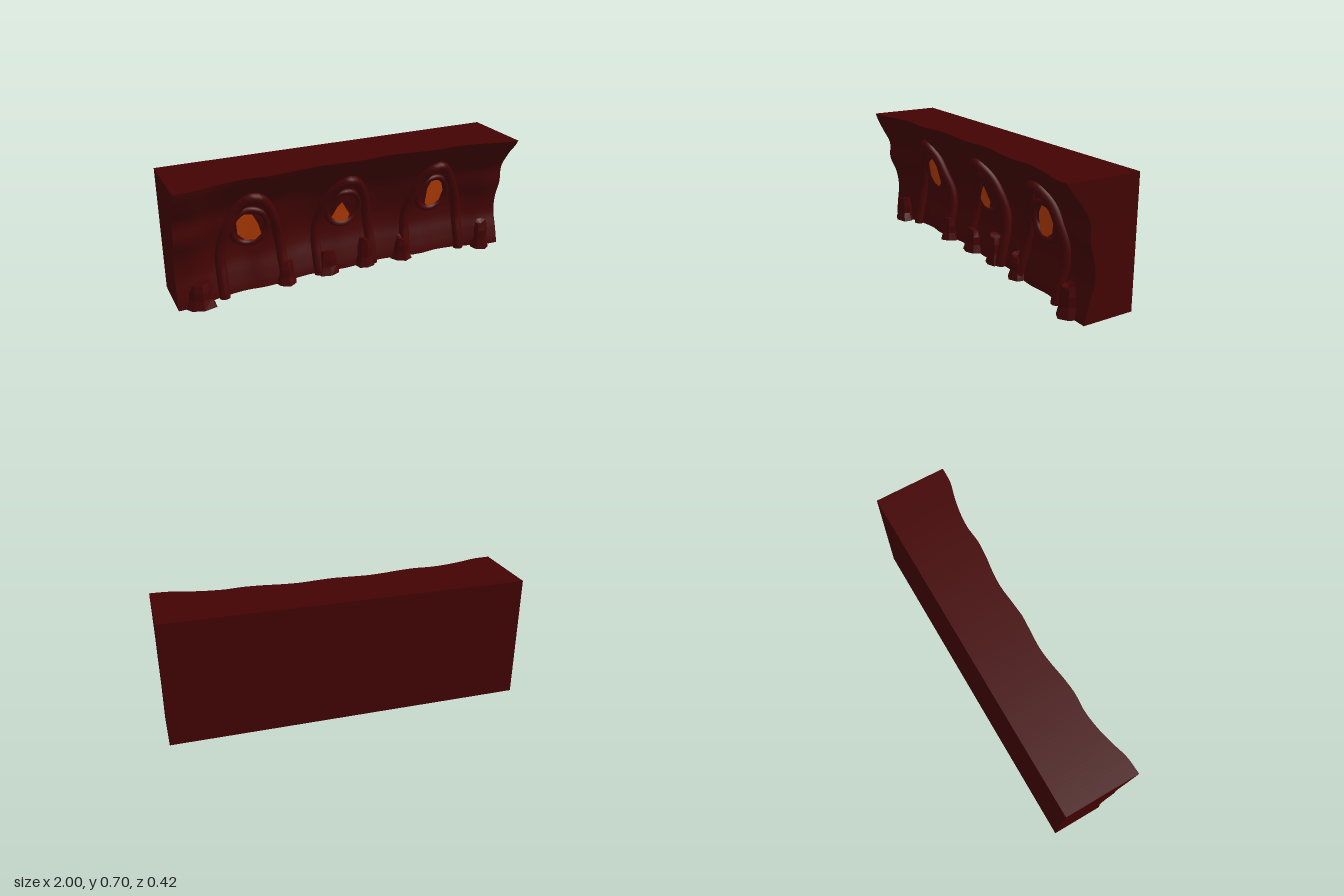
import * as THREE from 'three';

const H = 0.7, BACK = -0.21;
const redStone = new THREE.MeshStandardMaterial({ color: 0x440303, side: THREE.DoubleSide });
redStone.name = 'dark red';
const redRock = new THREE.MeshStandardMaterial({ color: 0x440303, side: THREE.DoubleSide, flatShading: true });
redRock.name = 'dark red faceted';
const amber = new THREE.MeshStandardMaterial({ color: 0xb43c05, side: THREE.DoubleSide });
amber.name = 'amber eye';

// Smooth curve through evenly spaced values
function spline(values) {
  const curve = new THREE.SplineCurve(values.map((v, i) => new THREE.Vector2(i, v)));
  return t => curve.getPoint(Math.min(1, Math.max(0, t))).y;
}

// Depth of the wall face by height: at each end and in the middle
const rightEnd = spline([0.08, 0.07, 0.06, 0.075, 0.115, 0.115, 0.165, 0.207]);
const leftEnd = spline([0.085, 0.06, 0.03, 0.035, 0.065, 0.07, 0.13, 0.207]);
const middle = spline([0, -0.022, -0.048, -0.054, -0.032, 0, 0.065, 0.135]);
const endBlend = spline([0.05, -0.05, -0.15, -0.05, 0.15, 0.25, 0.15, 0.27, 0.55, 0.92, 1]);

function wallZ(x, y) {
  const end = x < 0 ? rightEnd : leftEnd;
  return THREE.MathUtils.lerp(middle(y / H), end(y / H), endBlend(Math.abs(x)));
}

function mesh(name, geometry, material) {
  const m = new THREE.Mesh(geometry, material);
  m.name = name;
  return m;
}

// Grid surface given by a rule (u, v) -> [x, y, z]
function surface(name, nu, nv, rule) {
  const geo = new THREE.PlaneGeometry(1, 1, nu, nv);
  const p = geo.attributes.position;
  for (let i = 0; i < p.count; i++) p.setXYZ(i, ...rule(p.getX(i) + 0.5, p.getY(i) + 0.5));
  geo.computeVertexNormals();
  return mesh(name, geo, redStone);
}

// Tube that hugs the wall along a path of [x, y] points, cut level at the ground
function wallTube(name, points, radius, lift, closed = false) {
  const flat = new THREE.SplineCurve(points.map(([x, y]) => new THREE.Vector2(x, y)));
  const path = flat.getPoints(40).map(q => new THREE.Vector3(q.x, q.y, wallZ(q.x, q.y) + lift));
  if (closed) path.pop();
  const geo = new THREE.TubeGeometry(new THREE.CatmullRomCurve3(path, closed), 72, radius, 10, closed);
  const p = geo.attributes.position;
  for (let i = 0; i < p.count; i++) p.setY(i, Math.max(0, p.getY(i)));
  return mesh(name, geo, redStone);
}

// Faceted stump with a flared foot and an uneven crown
function stump(x, height, width, seed) {
  const geo = new THREE.CylinderGeometry(0.55, 1, 1, 7, 3);
  const p = geo.attributes.position;
  for (let i = 0; i < p.count; i++) {
    const a = Math.round(Math.atan2(p.getX(i), p.getZ(i)) * 7 / (2 * Math.PI));
    const level = p.getY(i) + 0.5;
    const wobble = 1 + 0.1 * Math.sin(a * 2.4 + seed * 1.7 + level * 2);
    const waist = level > 0.2 && level < 0.5 ? 0.85 : 1;
    const top = level > 0.95 ? 0.07 * Math.sin(a * 0.9 + seed) - 0.06 : 0;
    p.setXYZ(i, p.getX(i) * width * wobble * waist, (level + top) * height, p.getZ(i) * 0.055 * wobble * waist);
  }
  geo.computeVertexNormals();
  const m = mesh('stump', geo, redRock);
  m.position.set(x, 0, wallZ(x, 0.05) + 0.02);
  return m;
}

export function createModel() {
  const g = new THREE.Group();
  g.name = 'archedWall';

  // Wall block with a rippled front and an open underside
  g.add(
    surface('wallFront', 100, 32, (u, v) => [u * 2 - 1, v * H, wallZ(u * 2 - 1, v * H)]),
    surface('wallBack', 1, 1, (u, v) => [1 - u * 2, v * H, BACK]),
    surface('wallTop', 100, 1, (u, v) => [u * 2 - 1, H, THREE.MathUtils.lerp(wallZ(u * 2 - 1, H), BACK, v)]),
    surface('wallLeft', 1, 32, (u, v) => [1, v * H, THREE.MathUtils.lerp(wallZ(1, v * H), BACK, u)]),
    surface('wallRight', 1, 32, (u, v) => [-1, v * H, THREE.MathUtils.lerp(BACK, wallZ(-1, v * H), u)])
  );

  // Pointed arches: the outer two mirror each other
  const sideArch = [[0.38, 0], [0.385, 0.1], [0.4, 0.27], [0.445, 0.425], [0.503, 0.53], [0.562, 0.565],
    [0.622, 0.53], [0.69, 0.42], [0.737, 0.27], [0.742, 0.12], [0.74, 0]];
  const midArch = [[-0.17, 0], [-0.173, 0.12], [-0.163, 0.27], [-0.12, 0.42], [-0.065, 0.52], [0, 0.565],
    [0.065, 0.52], [0.12, 0.42], [0.155, 0.27], [0.168, 0.12], [0.17, 0]];
  const arches = [sideArch.map(([x, y]) => [-x, y]), midArch, sideArch];
  arches.forEach(points => g.add(wallTube('arch', points, 0.029, 0.016)));

  // Eyes: thin plates, tilted half as much as the wall, ringed by swollen lids
  const eyes = [
    [[-0.645, 0.425], [-0.61, 0.455], [-0.555, 0.445], [-0.525, 0.39], [-0.505, 0.32], [-0.54, 0.29], [-0.595, 0.295], [-0.638, 0.34]],
    [[-0.08, 0.325], [-0.048, 0.385], [-0.02, 0.415], [0.01, 0.365], [0.032, 0.33], [0.015, 0.29], [-0.04, 0.292]],
    [[0.52, 0.315], [0.526, 0.41], [0.552, 0.458], [0.59, 0.47], [0.624, 0.43], [0.638, 0.38], [0.62, 0.32], [0.578, 0.292], [0.54, 0.292]]
  ];
  const lidCentres = [-0.572, -0.005, 0.565];
  eyes.forEach((outline, i) => {
    const cx = lidCentres[i];
    const geo = new THREE.ShapeGeometry(new THREE.Shape(outline.map(([x, y]) => new THREE.Vector2(x, y))));
    const p = geo.attributes.position;
    for (let k = 0; k < p.count; k++) {
      p.setZ(k, (wallZ(cx, 0.39) + wallZ(p.getX(k), p.getY(k))) / 2 + 0.018);
    }
    geo.computeVertexNormals();
    g.add(mesh('eye', geo, amber));

    const ring = [];
    for (let k = 0; k <= 16; k++) {
      const a = k / 16 * Math.PI * 2;
      ring.push([cx + 0.1 * Math.cos(a), 0.373 + 0.104 * Math.sin(a)]);
    }
    g.add(wallTube('eyelid', ring, 0.018, 0.008, true));
  });

  // Stumps along the foot of the wall
  [[-0.875, 0.15, 0.085], [-0.375, 0.135, 0.062], [-0.115, 0.14, 0.07],
    [0.118, 0.175, 0.055], [0.36, 0.14, 0.065], [0.875, 0.172, 0.062]]
    .forEach(([x, h, w], i) => g.add(stump(x, h, w, i)));

  return g;
}
